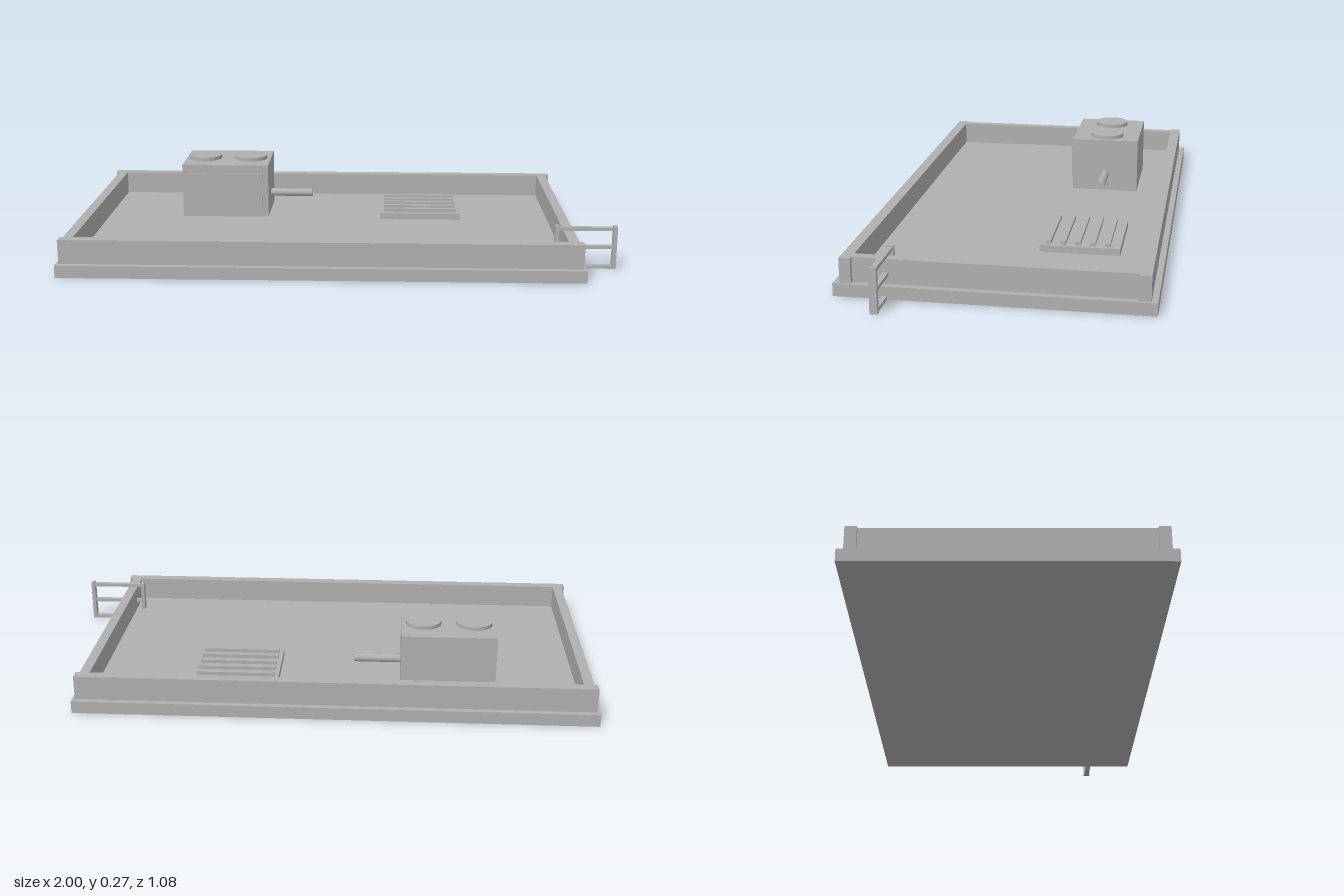
import * as THREE from 'three';

export function createModel() {
  const model = new THREE.Group();
  model.name = 'flatRoof';
  const grey = new THREE.MeshStandardMaterial({ color: 0xb0b0b0 });
  grey.name = 'concrete grey';

  function add(parent, name, geometry, x, y, z) {
    const mesh = new THREE.Mesh(geometry, grey);
    mesh.name = name;
    mesh.position.set(x, y, z);
    parent.add(mesh);
    return mesh;
  }
  // box given by its lower and upper limits on each axis
  function box(parent, name, [x0, x1], [y0, y1], [z0, z1]) {
    return add(parent, name, new THREE.BoxGeometry(x1 - x0, y1 - y0, z1 - z0),
      (x0 + x1) / 2, (y0 + y1) / 2, (z0 + z1) / 2);
  }
  function group(name) {
    const g = new THREE.Group();
    g.name = name;
    model.add(g);
    return g;
  }

  const FLOOR = 0.045, WALL_TOP = 0.133;

  // Roof slab
  box(model, 'roofSlab', [-1, 0.873], [0, FLOOR], [-0.54, 0.54]);

  // Parapet: long walls overlap the slightly inset short walls
  const parapet = group('parapet');
  box(parapet, 'frontWall', [-0.99, 0.863], [FLOOR, WALL_TOP], [0.478, 0.518]);
  box(parapet, 'backWall', [-0.99, 0.863], [FLOOR, WALL_TOP], [-0.518, -0.478]);
  box(parapet, 'leftWall', [0.812, 0.848], [FLOOR, WALL_TOP], [-0.478, 0.478]);
  box(parapet, 'rightWall', [-0.978, -0.942], [FLOOR, WALL_TOP], [-0.478, 0.478]);

  // Air conditioning unit
  const unit = group('airConditioner');
  box(unit, 'housing', [-0.643, -0.3], [FLOOR, 0.256], [-0.376, -0.112]);
  box(unit, 'frontPanel', [-0.62, -0.323], [0.08, 0.223], [-0.112, -0.105]);
  for (const x of [-0.566, -0.38]) {
    add(unit, 'fanCover', new THREE.CylinderGeometry(0.066, 0.066, 0.014, 32), x, 0.263, -0.245);
  }
  const pipe = add(unit, 'pipe', new THREE.CylinderGeometry(0.016, 0.016, 0.175, 12), -0.2175, 0.113, -0.245);
  pipe.rotation.z = Math.PI / 2;

  // Vent with raised slats
  const vent = group('roofVent');
  box(vent, 'ventFrame', [0.147, 0.465], [FLOOR, 0.07], [-0.38, -0.092]);
  for (let i = 0; i < 5; i++) {
    const z = -0.334 + i * 0.053;
    box(vent, 'slat', [0.163, 0.45], [0.07, 0.083], [z - 0.009, z + 0.009]);
  }

  // Ladder hooked over the left wall
  const ladder = group('ladder');
  box(ladder, 'innerPost', [0.777, 0.791], [FLOOR, 0.159], [0.349, 0.376]);
  box(ladder, 'outerPost', [0.986, 1], [0, 0.159], [0.349, 0.376]);
  for (const y of [0.006, 0.08, 0.148]) {
    box(ladder, 'rung', [y < FLOOR ? 0.86 : 0.791, 0.986], [y - 0.006, y + 0.006], [0.353, 0.372]);
  }

  return model;
}
